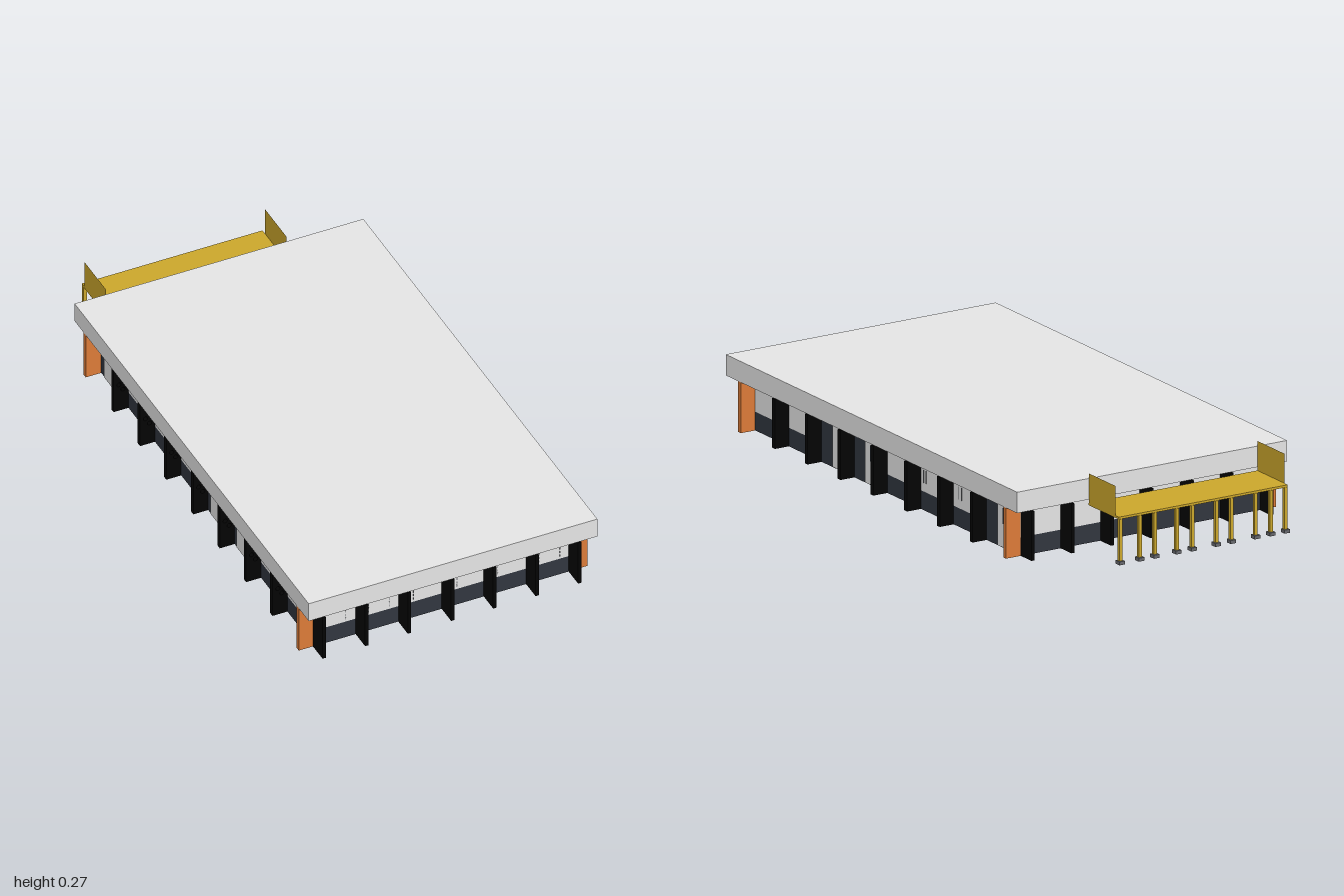
import * as THREE from 'three';

const mat = (name, color) => {
  const m = new THREE.MeshStandardMaterial({ color });
  m.name = name;
  return m;
};

export function createModel() {
  const grey = mat('pale grey', 0xe5e5e5);
  const navy = mat('slate navy', 0x31363f);
  const black = mat('black', 0x040404);
  const orange = mat('rust orange', 0xdc7b38);
  const yellow = mat('ochre', 0xcca72c);
  yellow.side = THREE.DoubleSide;
  const steel = mat('steel grey', 0x66686c);

  const model = new THREE.Group();
  model.name = 'pavilion';

  const add = (parent, name, geometry, material, x, y, z) => {
    const mesh = new THREE.Mesh(geometry, material);
    mesh.position.set(x, y, z);
    mesh.name = name;
    parent.add(mesh);
    return mesh;
  };
  // Box given by its limits on each axis
  const box = (parent, name, material, [x0, x1], [y0, y1], [z0, z1]) =>
    add(parent, name, new THREE.BoxGeometry(x1 - x0, y1 - y0, z1 - z0), material,
      (x0 + x1) / 2, (y0 + y1) / 2, (z0 + z1) / 2);
  const group = (name) => {
    const g = new THREE.Group();
    g.name = name;
    model.add(g);
    return g;
  };
  // Ordered limits of a span on the positive or negative side
  const span = (s, a, b) => (s > 0 ? [a, b] : [-b, -a]);

  const SILL = 0.065, EAVE = 0.177, FIN = 0.172;
  const WX = 0.475, ZF = 0.925, ZB = -0.735, T = 0.01;

  // Flat roof with a deep overhang
  box(model, 'roof', grey, [-0.532, 0.532], [EAVE, 0.25], [-0.803, 1]);

  // Front and back walls with their fins
  const finX = [-0.474, -0.317, -0.16, 0, 0.155, 0.311, 0.468];
  for (const [name, wall, fin] of [
    ['front', [ZF - T, ZF], [ZF, 0.998]],
    ['back', [ZB, ZB + T], [-0.801, ZB]],
  ]) {
    const g = group(name + 'Wall');
    box(g, 'wallBase', navy, [-WX, WX], [0, SILL], wall);
    box(g, 'wallPanel', grey, [-WX, WX], [SILL, EAVE], wall);
    for (const x of finX) box(g, 'fin', black, [x - 0.006, x + 0.006], [0, FIN], fin);
    // Fine dashed slots between the front fins
    if (name === 'back') continue;
    for (const x of [-0.445, -0.36, -0.3, -0.275, -0.2, -0.11, 0.05, 0.2, 0.355, 0.43]) {
      for (let y = 0.075; y < 0.13; y += 0.014) {
        box(g, 'slot', steel, [x - 0.001, x + 0.001], [y, y + 0.008], [ZF, ZF + 0.001]);
      }
    }
  }

  // Perforated fin used along the right side
  const finShape = new THREE.Shape([[0, 0], [0.055, 0], [0.055, FIN], [0, FIN]]
    .map(([x, y]) => new THREE.Vector2(x, y)));
  for (const [x, y] of [[0.035, 0.085], [0.02, 0.108], [0.036, 0.13]]) {
    finShape.holes.push(new THREE.Path().absarc(x, y, 0.008, 0, Math.PI * 2, true));
  }
  const openFin = new THREE.ExtrudeGeometry(finShape, { depth: 0.018, bevelEnabled: false, curveSegments: 6 });

  // Side walls, mirrored: plain bays, and dark bays holding doors
  const bayZ = [ZF - T, 0.708, 0.505, 0.302, 0.098, -0.11, -0.312, -0.516, ZB + T];
  const doorAt = { 2: 0.378, 3: 0.177, 7: -0.643 };
  for (const s of [1, -1]) {
    const g = group(s > 0 ? 'leftWall' : 'rightWall');
    const wall = span(s, WX - T, WX);
    for (let i = 0; i < 8; i++) {
      const z = [bayZ[i + 1], bayZ[i]];
      box(g, 'wallBase', navy, wall, [0, SILL], z);
      box(g, 'wallPanel', i in doorAt ? navy : grey, wall, [SILL, EAVE], z);
      if (i > 0 && s > 0) {
        box(g, 'fin', black, [WX, 0.53], [0, FIN], [bayZ[i] - 0.009, bayZ[i] + 0.009]);
      } else if (i > 0) {
        add(g, 'fin', openFin, black, -0.53, 0, bayZ[i] - 0.009);
      }
      if (!(i in doorAt)) continue;
      // Door leaf shows on both faces of the wall
      const d = doorAt[i];
      box(g, 'door', grey, span(s, WX - T - 0.003, WX + 0.003), [0.002, 0.147], [d - 0.046, d + 0.046]);
      box(g, 'doorWindow', navy, span(s, WX + 0.003, WX + 0.005), [0.085, 0.14], [d - 0.012, d + 0.012]);
    }
    // Fine slots in the pale bays
    for (const z of [0.755, 0.735, -0.06, -0.08, -0.135, -0.15, -0.35, -0.37]) {
      box(g, 'slot', steel, span(s, WX, WX + 0.001), [0.095, 0.14], [z - 0.002, z + 0.002]);
    }
    // Coloured corner plates
    for (const z of [[0.907, 0.924], [-0.734, -0.717]]) {
      box(g, 'cornerPlate', orange, span(s, WX, 0.532), [0, EAVE], z);
    }
  }

  // Raised rear platform with thin end screens, on slim footed posts
  const p = group('rearPlatform');
  const X0 = -0.415, X1 = 0.25;
  box(p, 'deck', yellow, [X0, X1], [0.157, 0.165], [-0.99, -0.803]);
  for (const x of [X0, X1]) {
    add(p, 'endScreen', new THREE.PlaneGeometry(0.166, 0.108), yellow, x, 0.214, -0.887)
      .rotation.y = Math.PI / 2;
  }
  for (const x of [-0.408, -0.35, -0.29, -0.195, -0.135, -0.04, 0.02, 0.107, 0.167, 0.243]) {
    box(p, 'post', yellow, [x - 0.006, x + 0.006], [0.01, 0.157], [-0.992, -0.98]);
    box(p, 'foot', steel, [x - 0.011, x + 0.011], [0, 0.012], [-1, -0.976]);
  }
  return model;
}
